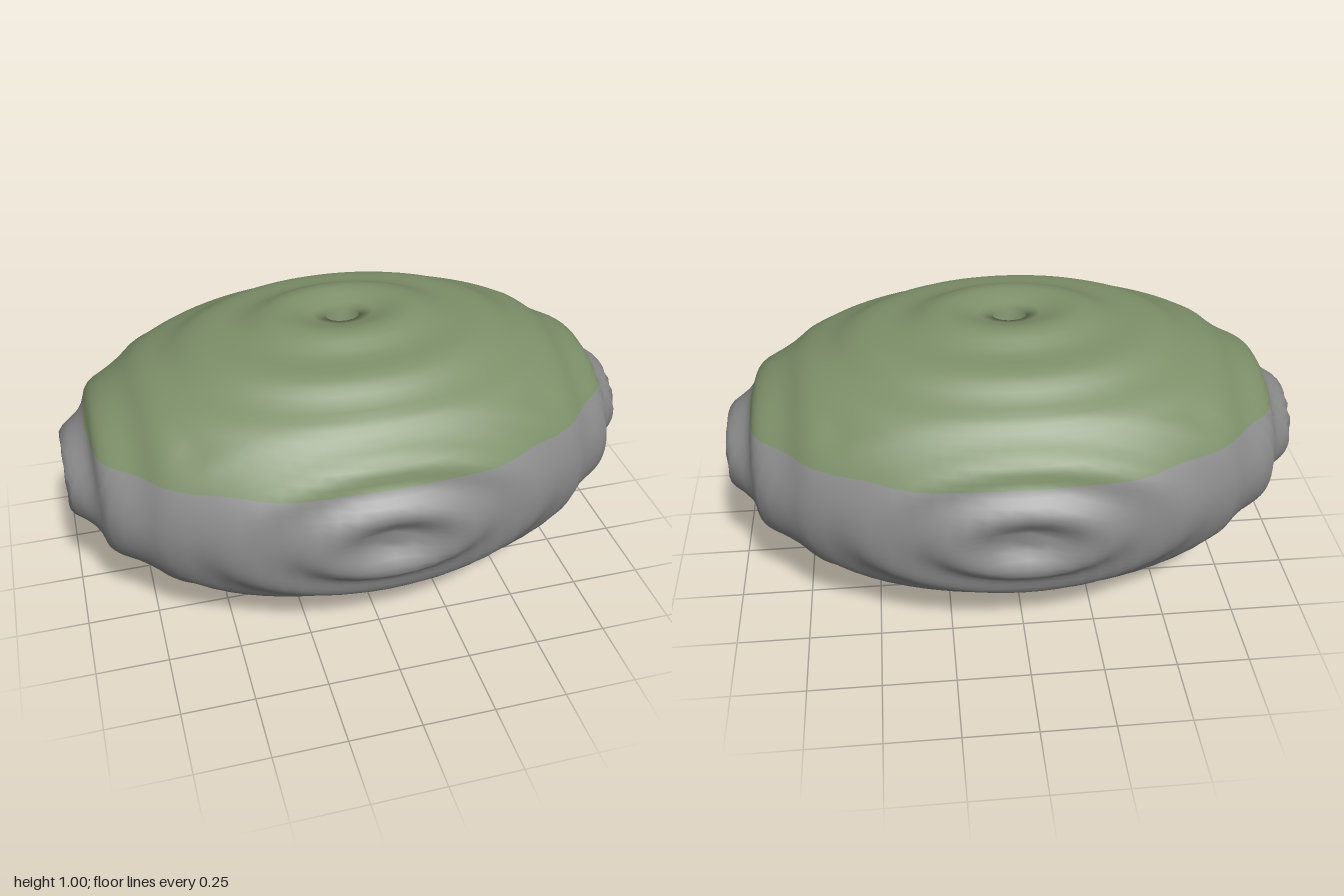
import * as THREE from 'three';

const RX = 1.005, RY = 0.503, RZ = 0.692, MID = 0.5, MOSS_LINE = 0.685;
const COLS = 96, TOP_ROWS = 24, LOW_ROWS = 40, HOLE = 0.062;

// Ripples and a small dent around each of the six axis directions
function relief(d) {
  const a = Math.acos(Math.min(1, Math.max(Math.abs(d.x), Math.abs(d.y), Math.abs(d.z))));
  const ripple = 0.036 * Math.cos((2 * Math.PI * (a - 0.24)) / 0.3) * Math.exp(-1.8 * a);
  const dent = -0.06 * Math.exp(-((a / 0.1) ** 2));
  return 1 + ripple + dent;
}

function surfacePoint(theta, phi) {
  const s = Math.sin(theta);
  const d = new THREE.Vector3(s * Math.sin(phi), Math.cos(theta), s * Math.cos(phi));
  const r = relief(d);
  return new THREE.Vector3(d.x * r * RX, MID + d.y * r * RY, d.z * r * RZ);
}

// Polar angle at which the surface crosses the moss line
function mossAngle(phi) {
  let lo = 0.7, hi = 1.6;
  for (let i = 0; i < 30; i++) {
    const m = (lo + hi) / 2;
    if (surfacePoint(m, phi).y > MOSS_LINE) lo = m; else hi = m;
  }
  return lo;
}

export function createModel() {
  const moss = new THREE.MeshStandardMaterial({ color: 0x7d8f69 });
  moss.name = 'moss green';
  const stone = new THREE.MeshStandardMaterial({ color: 0x8b8b8b });
  stone.name = 'stone grey';

  // Rows run over the outside from the top hole to the bottom hole, then back up the shaft
  const SHAFT = [0.25, 0.45, MOSS_LINE, 0.82];
  const outer = TOP_ROWS + LOW_ROWS + 1, rows = outer + SHAFT.length;
  const pos = [];
  const angles = Array.from({ length: COLS }, (_, c) => mossAngle((c / COLS) * Math.PI * 2));
  for (let r = 0; r < rows; r++) {
    for (let c = 0; c < COLS; c++) {
      const phi = (c / COLS) * Math.PI * 2;
      let p;
      if (r < outer) {
        const theta = r <= TOP_ROWS
          ? THREE.MathUtils.lerp(HOLE, angles[c], r / TOP_ROWS)
          : THREE.MathUtils.lerp(angles[c], Math.PI - HOLE, (r - TOP_ROWS) / LOW_ROWS);
        p = surfacePoint(theta, phi);
      } else {
        p = surfacePoint(HOLE, phi);
        p.y = SHAFT[r - outer];
      }
      pos.push(p.x, p.y, p.z);
    }
  }

  // Closed ring of rows; each row band belongs to one colour
  const index = [];
  const geo = new THREE.BufferGeometry();
  for (let r = 0; r < rows; r++) {
    const start = index.length, next = (r + 1) % rows;
    for (let c = 0; c < COLS; c++) {
      const c1 = (c + 1) % COLS;
      const a = r * COLS + c, b = next * COLS + c, d = next * COLS + c1, e = r * COLS + c1;
      index.push(a, b, d, a, d, e);
    }
    const mossy = r < TOP_ROWS || r >= outer + 2;
    geo.addGroup(start, index.length - start, mossy ? 0 : 1);
  }
  geo.setAttribute('position', new THREE.Float32BufferAttribute(pos, 3));
  geo.setIndex(index);
  geo.computeVertexNormals();

  const rock = new THREE.Mesh(geo, [moss, stone]);
  rock.name = 'mossyRock';
  const group = new THREE.Group();
  group.name = 'rock';
  group.add(rock);
  return group;
}
